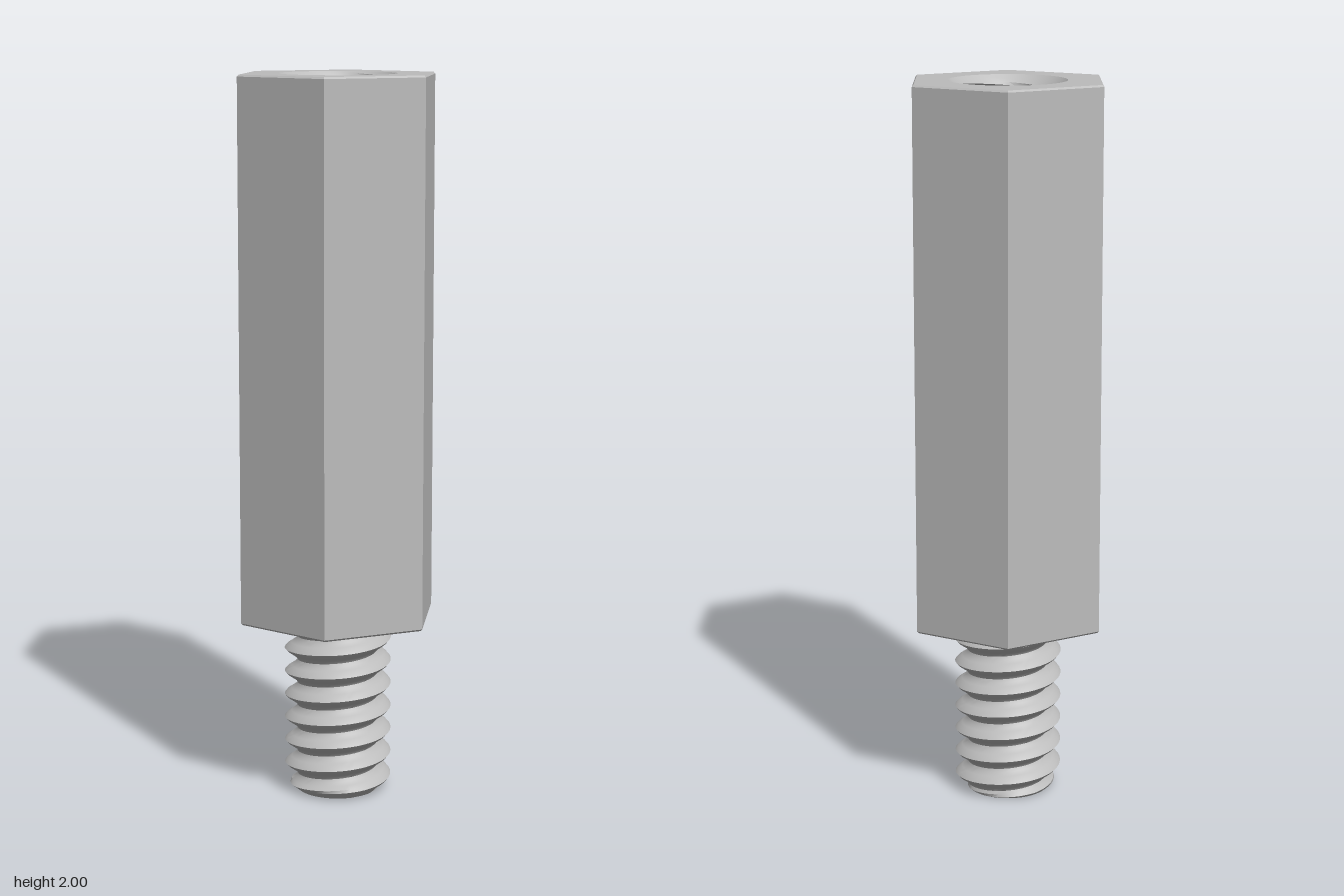
import * as THREE from 'three';
import { toCreasedNormals } from 'three/addons/utils/BufferGeometryUtils.js';

const PITCH = 1 / 15, SEGMENTS = 64, STEPS = 8;
const HEX_RADIUS = 0.289, SHOULDER = 0.5, TOP = 2, BEVEL = 0.005, MOUTH = 0.16;

// Trapezoid tooth: 0 at the root, 1 at the crest, for a phase measured in turns
function tooth(phase) {
  const p = phase - Math.floor(phase);
  return THREE.MathUtils.clamp((Math.abs(p - 0.5) * 2 - 0.15) / 0.75, 0, 1);
}

// Right-hand helical surface between two heights; rows follow the helix and are
// clamped at the ends. Optional flat discs close it; inward flips the faces.
function threadSurface({ y0, y1, radiusAt, capBottom, capTop, inward }) {
  const rows = [];
  const turns = Math.ceil((y1 - y0) / PITCH) + 1;
  const ring = (fn) => Array.from({ length: SEGMENTS + 1 }, (_, i) => {
    const turn = i / SEGMENTS, a = turn * Math.PI * 2;
    const [r, y] = fn(turn);
    return new THREE.Vector3(Math.cos(a) * r, y, -Math.sin(a) * r);
  });
  if (capBottom) rows.push(ring(() => [0, y0]));
  for (let k = -STEPS; k <= turns * STEPS; k++) {
    rows.push(ring((turn) => {
      const y = THREE.MathUtils.clamp(y0 + PITCH * (turn + k / STEPS), y0, y1);
      return [radiusAt(y, tooth((y - y0) / PITCH - turn - 0.5)), y];
    }));
  }
  if (capTop) rows.push(ring(() => [0, y1]));

  const positions = [];
  const triangle = (a, b, c) => {
    const area = b.clone().sub(a).cross(c.clone().sub(a)).length();
    if (area < 1e-8) return;
    for (const v of inward ? [a, c, b] : [a, b, c]) positions.push(v.x, v.y, v.z);
  };
  for (let k = 0; k < rows.length - 1; k++) {
    for (let i = 0; i < SEGMENTS; i++) {
      const a = rows[k][i], b = rows[k][i + 1], c = rows[k + 1][i + 1], d = rows[k + 1][i];
      triangle(a, b, c);
      triangle(a, c, d);
    }
  }
  const geometry = new THREE.BufferGeometry();
  geometry.setAttribute('position', new THREE.Float32BufferAttribute(positions, 3));
  return toCreasedNormals(geometry, 0.5);
}

export function createModel() {
  const model = new THREE.Group();
  model.name = 'hexStandoff';
  const steel = new THREE.MeshStandardMaterial({ color: 0xbcbcbc });
  steel.name = 'steelGrey';
  const add = (name, geometry) => {
    const mesh = new THREE.Mesh(geometry, steel);
    mesh.name = name;
    model.add(mesh);
    return mesh;
  };

  // Hexagonal sides and shoulder, with fine bevels at both ends
  const inner = HEX_RADIUS - BEVEL;
  const profile = [
    [0, SHOULDER], [inner, SHOULDER], [HEX_RADIUS, SHOULDER + BEVEL],
    [HEX_RADIUS, TOP - BEVEL], [inner, TOP],
  ].map(([x, y]) => new THREE.Vector2(x, y));
  const sides = new THREE.LatheGeometry(profile, 6, Math.PI / 2).toNonIndexed();
  sides.computeVertexNormals();
  add('hexBody', sides);

  // Top face with the round opening
  const hexagon = new THREE.Shape(Array.from({ length: 6 }, (_, i) => {
    const a = i * Math.PI / 3;
    return new THREE.Vector2(Math.cos(a) * inner, Math.sin(a) * inner);
  }));
  hexagon.holes.push(new THREE.Path().absarc(0, 0, MOUTH, 0, Math.PI * 2, true));
  const topFace = new THREE.ShapeGeometry(hexagon, SEGMENTS / 2);
  topFace.rotateX(-Math.PI / 2).translate(0, TOP, 0);
  add('topFace', topFace);

  // Countersunk threaded hole with a flat floor
  add('threadedHole', threadSurface({
    y0: 1.2, y1: TOP, capBottom: true, inward: true,
    radiusAt: (y, t) => Math.max(0.125 + 0.027 * t, MOUTH - (TOP - y)),
  }));

  // Threaded stud with a chamfered tip
  add('threadedStud', threadSurface({
    y0: 0, y1: SHOULDER + 0.01, capBottom: true, capTop: true,
    radiusAt: (y, t) => Math.min(0.113 + 0.036 * t, 0.115 + y * 1.2),
  }));

  return model;
}
